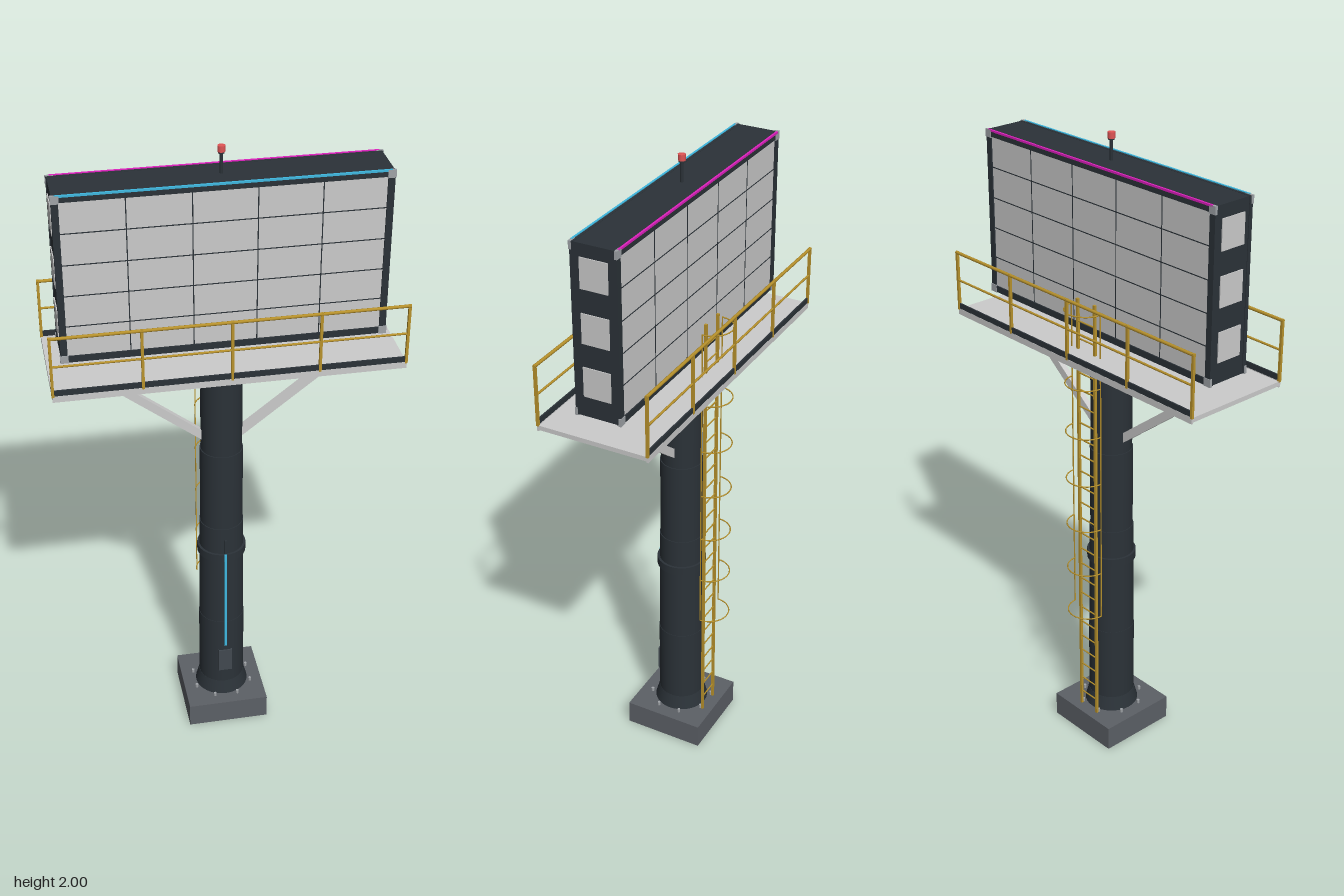
import * as THREE from 'three';

const mat = (color) => new THREE.MeshStandardMaterial({ color });
const GREY = mat(0xcccccc), DARK = mat(0x2b3238), CONCRETE = mat(0x5c6066), GOLD = mat(0xb8922c);
const CYAN = mat(0x3fb8e0), MAGENTA = mat(0xe020c0), RED = mat(0xe05555), DOOR = mat(0x414950), STEEL = mat(0xa0a4a8);

export function createModel() {
  const root = new THREE.Group();
  const group = (name) => {
    const g = new THREE.Group();
    g.name = name;
    root.add(g);
    return g;
  };
  const add = (parent, name, geo, m, x = 0, y = 0, z = 0) => {
    const mesh = new THREE.Mesh(geo, m);
    mesh.name = name;
    mesh.position.set(x, y, z);
    parent.add(mesh);
    return mesh;
  };
  const box = (parent, name, m, w, h, d, x, y, z) =>
    add(parent, name, new THREE.BoxGeometry(w, h, d), m, x, y, z);
  const rod = (parent, name, m, r, h, x, y, z, sides = 8) =>
    add(parent, name, new THREE.CylinderGeometry(r, r, h, sides), m, x, y, z);

  // Concrete footing with anchor bolts
  const footing = group('footing');
  box(footing, 'footingBlock', CONCRETE, 0.26, 0.08, 0.26, 0, 0.04, 0);
  for (let i = 0; i < 8; i++) {
    const a = (i + 0.5) * Math.PI / 4;
    rod(footing, 'anchorBolt', STEEL, 0.005, 0.012, 0.098 * Math.cos(a), 0.086, 0.098 * Math.sin(a), 6);
  }

  // Column: flared foot and four stepped sections
  const column = group('column');
  const section = (name, y0, y1, r0, r1 = r0) =>
    add(column, name, new THREE.CylinderGeometry(r1, r0, y1 - y0, 32), DARK, 0, (y0 + y1) / 2, 0);
  section('columnFoot', 0.08, 0.125, 0.086, 0.074);
  section('columnSection', 0.12, 0.38, 0.073);
  section('columnSection', 0.38, 0.75, 0.0715, 0.069);
  section('columnSection', 0.75, 1.02, 0.0665);
  section('columnSection', 1.02, 1.3, 0.0635);
  section('columnHead', 1.3, 1.348, 0.06);
  section('columnCollar', 0.63, 0.657, 0.077);
  box(column, 'accessDoor', DOOR, 0.044, 0.085, 0.012, 0, 0.218, 0.07);
  box(column, 'lightHousing', DARK, 0.008, 0.43, 0.01, 0, 0.495, 0.07);
  box(column, 'lightStrip', CYAN, 0.008, 0.375, 0.004, 0, 0.47, 0.0765);

  // Cross beam and diagonal braces
  const support = group('support');
  box(support, 'crossBeam', GREY, 0.76, 0.045, 0.084, 0, 1.324, 0);
  for (const s of [-1, 1]) {
    const dx = 0.32, dy = 0.25;
    const brace = box(support, 'brace', GREY, Math.hypot(dx, dy), 0.026, 0.018, s * 0.205, 1.185, 0);
    brace.rotation.z = s * Math.atan2(dy, dx);
  }

  // Walkway with toe boards and railings on both long sides
  const walkway = group('walkway');
  box(walkway, 'deck', GREY, 1.026, 0.014, 0.346, 0, 1.355, 0);
  for (const s of [-1, 1]) {
    const z = s * 0.172;
    box(walkway, 'edgeBeam', GREY, 1.026, 0.02, 0.006, 0, 1.354, z);
    box(walkway, 'toeBoard', DARK, 1.026, 0.018, 0.005, 0, 1.372, z);
    for (let i = -2; i <= 2; i++) box(walkway, 'railPost', GOLD, 0.008, 0.19, 0.008, i * 0.2555, 1.455, z);
    for (const y of [1.457, 1.546]) {
      rod(walkway, 'handrail', GOLD, y > 1.5 ? 0.005 : 0.0035, 1.03, 0, y, z).rotation.z = Math.PI / 2;
    }
  }

  // Display cabinet
  const cabinet = group('cabinet');
  box(cabinet, 'cabinetBody', DARK, 0.946, 0.51, 0.126, 0, 1.663, 0);
  for (const s of [-1, 1]) {
    // Screen of five by five tiles
    box(cabinet, 'screen', GREY, 0.914, 0.475, 0.004, 0, 1.663, s * 0.064);
    for (let i = 1; i < 5; i++) {
      box(cabinet, 'tileSeam', DARK, 0.003, 0.475, 0.002, -0.457 + i * 0.1828, 1.663, s * 0.0658);
      box(cabinet, 'tileSeam', DARK, 0.914, 0.003, 0.002, 0, 1.4255 + i * 0.095, s * 0.0658);
    }
    // Frame bars, corner caps and light line
    for (const t of [-1, 1]) {
      box(cabinet, 'frameBar', DARK, 0.946, 0.02, 0.012, 0, 1.663 + t * 0.246, s * 0.064);
      box(cabinet, 'framePost', DARK, 0.02, 0.51, 0.012, t * 0.465, 1.663, s * 0.064);
      for (const x of [-1, 1]) {
        box(cabinet, 'cornerCap', STEEL, 0.024, 0.024, 0.008, x * 0.465, 1.663 + t * 0.245, s * 0.068);
      }
    }
    box(cabinet, 'edgeLight', s > 0 ? CYAN : MAGENTA, 0.93, 0.006, 0.006, 0, 1.918, s * 0.069);
    // Vent panels on the end
    for (const y of [1.515, 1.675, 1.835]) {
      box(cabinet, 'ventPanel', GREY, 0.006, 0.09, 0.085, s * 0.473, y, 0);
    }
  }

  // Warning beacon
  const beacon = group('beacon');
  rod(beacon, 'beaconMast', DARK, 0.005, 0.065, 0, 1.95, 0);
  rod(beacon, 'beaconLamp', RED, 0.011, 0.018, 0, 1.99, 0, 16);
  rod(beacon, 'beaconBase', DARK, 0.009, 0.005, 0, 1.979, 0, 16);
  add(beacon, 'beaconTop', new THREE.SphereGeometry(0.0105, 16, 8, 0, Math.PI * 2, 0, Math.PI / 2), RED, 0, 1.9895, 0);

  // Ladder with safety hoops at the back
  const ladder = group('ladder');
  for (const s of [-1, 1]) {
    box(ladder, 'ladderRail', GOLD, 0.008, 1.44, 0.008, s * 0.037, 0.8, -0.098);
    box(ladder, 'cageBar', GOLD, 0.003, 1.03, 0.003, s * 0.063, 0.985, -0.1);
  }
  for (let y = 0.13; y < 1.5; y += 0.055) {
    rod(ladder, 'rung', GOLD, 0.0025, 0.074, 0, y, -0.098, 6).rotation.z = Math.PI / 2;
  }
  for (const y of [0.471, 0.63, 0.788, 0.947, 1.106, 1.265, 1.498]) {
    const hoop = add(ladder, 'cageHoop', new THREE.TorusGeometry(0.063, 0.002, 6, 24, Math.PI), GOLD, 0, y, -0.1);
    hoop.rotation.x = -Math.PI / 2;
  }
  return root;
}
